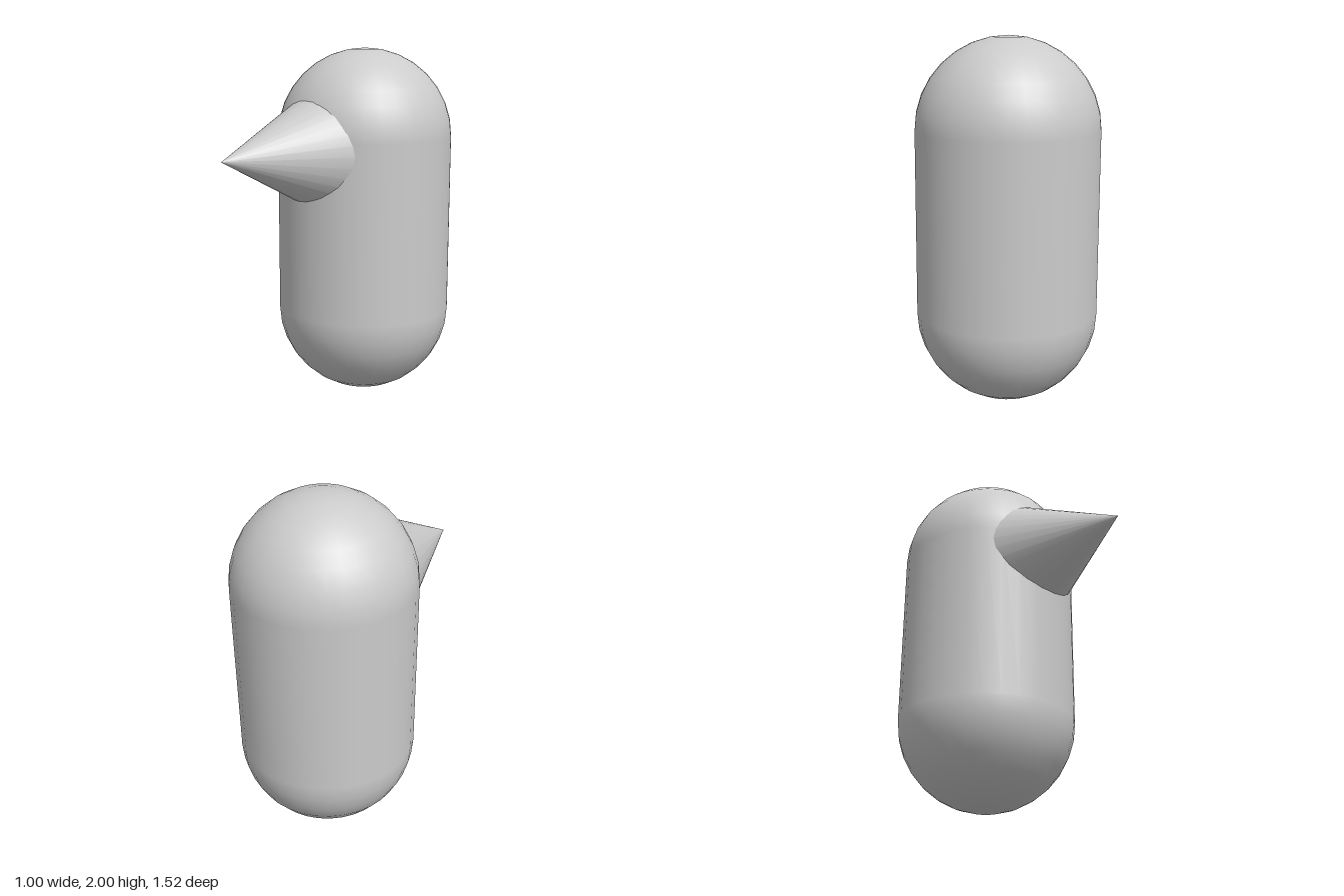
import * as THREE from 'three';

export function createModel() {
  const group = new THREE.Group();
  const material = new THREE.MeshStandardMaterial({ color: 0xcccccc });

  // Upright body with rounded ends
  const body = new THREE.Mesh(new THREE.CapsuleGeometry(0.5, 1, 8, 32), material);
  body.name = 'body';
  body.position.set(0, 1, -0.26);
  group.add(body);

  // Forward-pointing cone, its base sunk inside the body
  const radius = 0.42, length = 0.84, tipZ = 0.76;
  const nose = new THREE.Mesh(new THREE.ConeGeometry(radius, length, 32), material);
  nose.name = 'nose';
  nose.rotation.x = Math.PI / 2;
  nose.position.set(0, 1.43, tipZ - length / 2);
  group.add(nose);

  return group;
}
